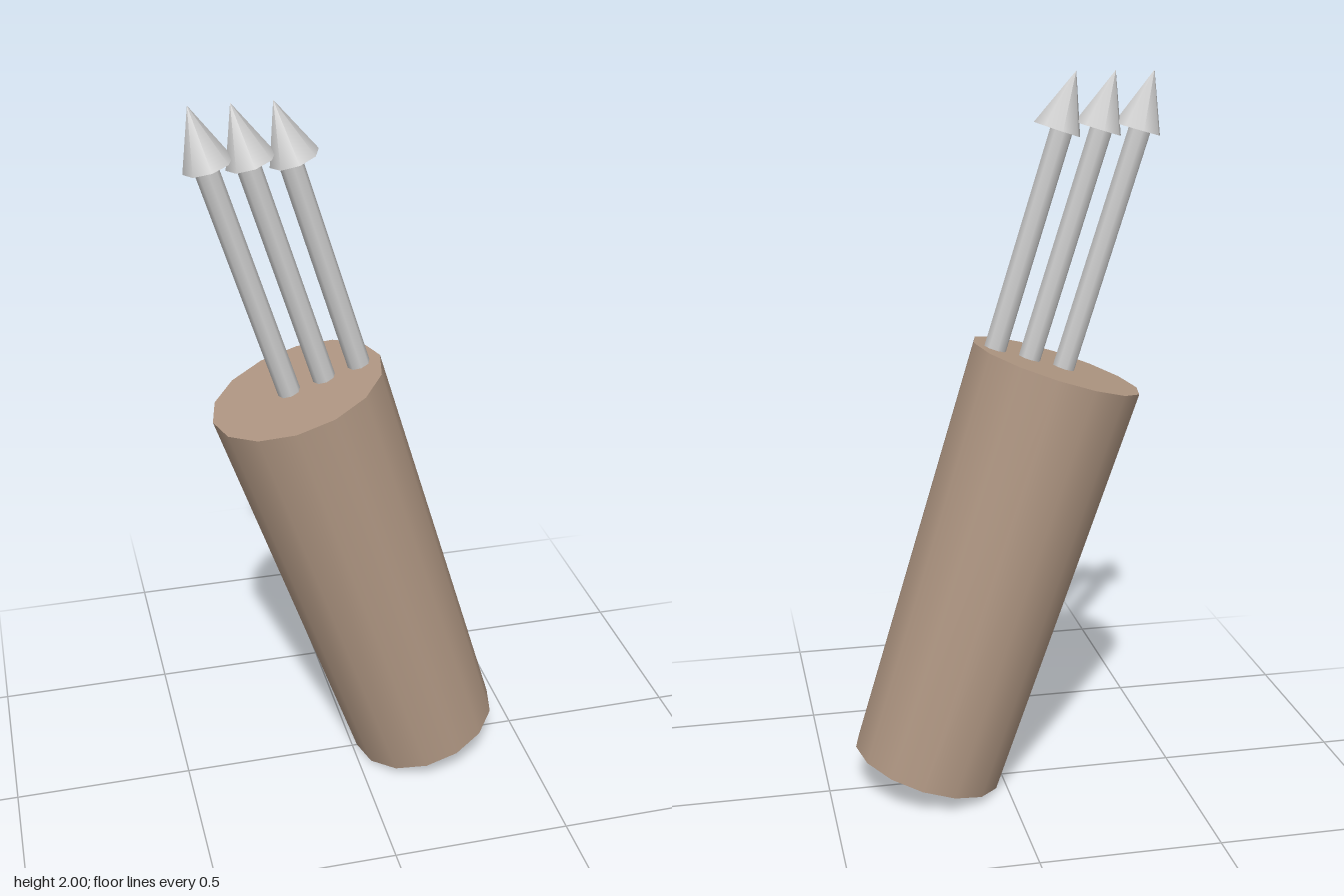
import * as THREE from 'three';

const UP = new THREE.Vector3(0, 1, 0);

// Cylinder or cone running from point a to point b in the z = 0 plane
function rod(name, a, b, rBottom, rTop, sides, material, thetaStart = 0) {
  const from = new THREE.Vector3(a[0], a[1], 0);
  const to = new THREE.Vector3(b[0], b[1], 0);
  const dir = to.clone().sub(from);
  const geometry = new THREE.CylinderGeometry(rTop, rBottom, dir.length(), sides, 1, false, thetaStart);
  const mesh = new THREE.Mesh(geometry, material);
  mesh.name = name;
  mesh.position.copy(from).add(to).multiplyScalar(0.5);
  mesh.quaternion.setFromUnitVectors(UP, dir.normalize());
  return mesh;
}

export function createModel() {
  const model = new THREE.Group();
  model.name = 'quiverWithArrows';
  const leather = new THREE.MeshStandardMaterial({ color: 0xb09783 });
  const grey = new THREE.MeshStandardMaterial({ color: 0xcccccc });

  // Leaning, slightly flared 14-sided case with a corner towards +x
  model.add(rod('quiver', [0.218, 0.066], [-0.153, 1.217], 0.214, 0.24, 14, leather, Math.PI / 2));

  // Three arrows in a row: shaft foot, shaft top, head base and tip
  const arrows = [
    { foot: [-0.167, 1.19], top: [-0.376, 1.855], base: [-0.366, 1.847], tip: [-0.41, 2] },
    { foot: [-0.07, 1.215], top: [-0.27, 1.855], base: [-0.259, 1.85], tip: [-0.305, 2] },
    { foot: [0.025, 1.245], top: [-0.163, 1.855], base: [-0.149, 1.85], tip: [-0.199, 2] },
  ];
  for (const { foot, top, base, tip } of arrows) {
    const arrow = new THREE.Group();
    arrow.name = 'arrow';
    arrow.add(rod('arrowShaft', foot, top, 0.031, 0.031, 8, grey));
    arrow.add(rod('arrowHead', base, tip, 0.066, 0, 8, grey));
    model.add(arrow);
  }
  return model;
}
